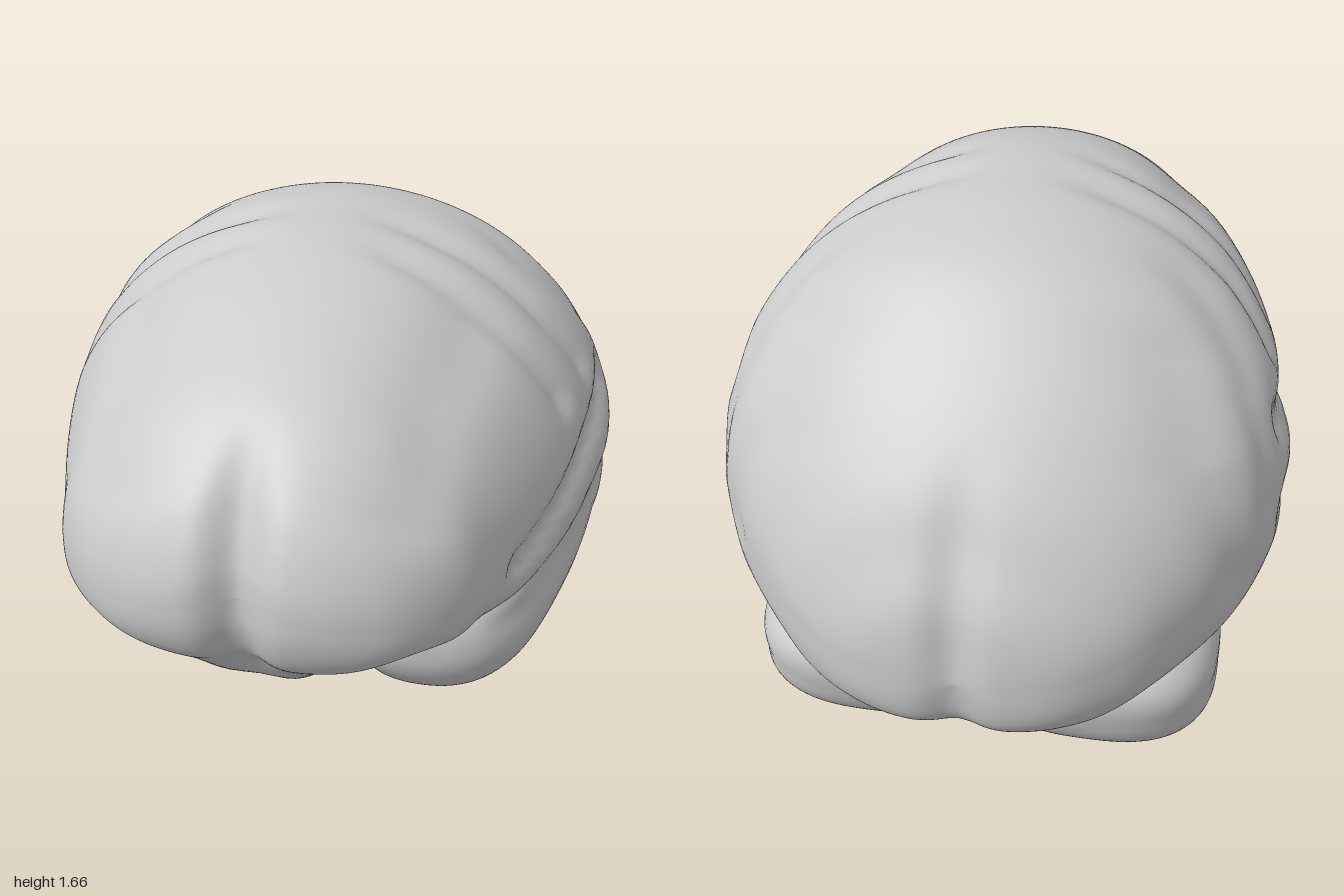
import * as THREE from 'three';
import { mergeVertices } from 'three/addons/utils/BufferGeometryUtils.js';

const material = new THREE.MeshStandardMaterial({ color: 0xcccccc, roughness: 0.7 });
const bell = (d, w) => Math.exp(-(d * d) / (w * w));
const step = THREE.MathUtils.smoothstep;
const spow = (v, e) => Math.sign(v) * Math.pow(Math.abs(v), e);

// Smoothly interpolated row of a section table, t from 0 to 1
function sample(rows, t) {
  const f = t * (rows.length - 1);
  const i = Math.min(Math.floor(f), rows.length - 2);
  const k = f - i;
  const row = (n) => rows[Math.max(0, Math.min(rows.length - 1, n))];
  return rows[0].map((_, c) => {
    const [a, b, d, e] = [row(i - 1)[c], row(i)[c], row(i + 1)[c], row(i + 2)[c]];
    return b + 0.5 * k * (d - a + k * (2 * a - 5 * b + 4 * d - e + k * (3 * (b - d) + e - a)));
  });
}

// Closed skin of rings: point(angle, t) gives [x, y, z]
function skin(name, around, along, point, mirrored = false) {
  const pos = [];
  const index = [];
  for (let j = 0; j <= along; j++) {
    for (let i = 0; i < around; i++) {
      const [x, y, z] = point((i / around) * Math.PI * 2, j / along);
      pos.push(mirrored ? -x : x, y, z);
      if (j === along) continue;
      const a = j * around + i;
      const b = j * around + ((i + 1) % around);
      const c = a + around;
      const d = b + around;
      if (mirrored) index.push(a, b, c, b, d, c);
      else index.push(a, c, b, b, c, d);
    }
  }
  let geometry = new THREE.BufferGeometry();
  geometry.setAttribute('position', new THREE.Float32BufferAttribute(pos, 3));
  geometry.setIndex(index);
  geometry = mergeVertices(geometry, 1e-5);
  geometry.computeVertexNormals();
  const mesh = new THREE.Mesh(geometry, material);
  mesh.name = name;
  return mesh;
}

// Furrows drawn on the side as z, y lines
const furrows = [
  { depth: 0.035, width: 0.06, line: [[0.48, 0.92], [0.3, 0.97], [0.05, 1.05], [-0.25, 1.12]] },
  { depth: 0.022, width: 0.06, line: [[0.5, 0.74], [0.3, 0.79], [0, 0.84], [-0.3, 0.89]] },
  { depth: 0.02, width: 0.05, line: [[0.18, 1.62], [0.18, 1.4], [0.14, 1.25]] },
  { depth: 0.02, width: 0.05, line: [[0, 1.64], [-0.02, 1.4], [-0.08, 1.25]] },
  { depth: 0.02, width: 0.07, line: [[-0.45, 1.42], [-0.62, 1.2], [-0.6, 0.85]] },
  { depth: 0.015, width: 0.07, line: [[0.25, 1.5], [0.55, 1.4], [0.8, 1.22]] },
  { depth: 0.012, width: 0.06, line: [[-0.2, 1.5], [-0.38, 1.25], [-0.45, 1.0]] },
];

function furrowDepth(z, y) {
  let sum = 0;
  for (const { depth, width, line } of furrows) {
    let best = Infinity;
    for (let i = 0; i < line.length - 1; i++) {
      const [az, ay] = line[i];
      const dz = line[i + 1][0] - az;
      const dy = line[i + 1][1] - ay;
      const k = Math.max(0, Math.min(1, ((z - az) * dz + (y - ay) * dy) / (dz * dz + dy * dy)));
      best = Math.min(best, Math.hypot(z - az - k * dz, y - ay - k * dy));
    }
    sum += depth * bell(best, width);
  }
  return sum;
}

// Cerebrum sections: z, half width, top, widest height, bottom
const cerebrumRows = [
  [1, 0, 1.02, 1.02, 1.02], [0.99, 0.18, 1.1, 1, 0.92], [0.95, 0.31, 1.2, 0.98, 0.83],
  [0.88, 0.42, 1.3, 0.97, 0.78], [0.75, 0.53, 1.42, 0.96, 0.74], [0.6, 0.59, 1.51, 0.95, 0.72],
  [0.4, 0.67, 1.6, 0.93, 0.6], [0.2, 0.735, 1.65, 0.92, 0.52], [0, 0.775, 1.66, 0.92, 0.5],
  [-0.2, 0.795, 1.648, 0.92, 0.49], [-0.4, 0.77, 1.59, 0.91, 0.49], [-0.6, 0.69, 1.44, 0.88, 0.47],
  [-0.8, 0.52, 1.23, 0.82, 0.46], [-0.9, 0.4, 1.07, 0.78, 0.49], [-0.975, 0.24, 0.92, 0.74, 0.57],
  [-1.005, 0, 0.71, 0.71, 0.71],
];

function cerebrumPoint(angle, t) {
  let [z, w, top, mid, bottom] = sample(cerebrumRows, t);
  const c = Math.cos(angle);
  const s = Math.sin(angle);
  const e = s > 0 ? 1 : 0.7;
  let x = w * spow(c, e);
  let y = mid + (s > 0 ? top - mid : mid - bottom) * spow(s, e);
  // Furrows fade towards the midline and the underside
  const cut = furrowDepth(z, y) * step(Math.abs(x), 0.02, 0.3) * step(s, -0.9, -0.5);
  const keep = 1 - cut / Math.max(Math.hypot(x, y - mid), 0.2);
  x *= keep;
  y = mid + (y - mid) * keep;
  // Underside: flat central ridge, eye hollows and the space above the stem
  const under = step(-s, 0.2, 0.8);
  const frontal = step(z, 0.4, 0.6) * (1 - step(z, 0.75, 0.93));
  y -= under * frontal * 0.09 * Math.exp(-Math.pow(x / 0.19, 4));
  y += under * frontal * 0.06 * bell(Math.abs(x) - 0.36, 0.13);
  y += under * 0.08 * bell(x, 0.2) * step(z, -0.2, 0) * (1 - step(z, 0.25, 0.45));
  // Notch between the hemispheres at both ends
  const notch = z > 0 ? 0.065 : 0.035;
  z *= 1 - notch * bell(x, 0.07) * step(Math.abs(z), 0.7, 0.98);
  return [x, y, z];
}

// Temporal lobe sections: z, centre x, centre y, radius x, radius y
const temporalRows = [
  [0.58, 0.4, 0.67, 0, 0], [0.565, 0.4, 0.67, 0.1, 0.08], [0.52, 0.41, 0.67, 0.18, 0.155],
  [0.43, 0.42, 0.665, 0.235, 0.225], [0.3, 0.435, 0.67, 0.265, 0.26], [0.1, 0.465, 0.72, 0.285, 0.28],
  [-0.1, 0.485, 0.77, 0.29, 0.285], [-0.28, 0.48, 0.8, 0.29, 0.28], [-0.45, 0.45, 0.82, 0.265, 0.25],
  [-0.6, 0.4, 0.82, 0.2, 0.2], [-0.65, 0.38, 0.82, 0, 0],
];

function temporalPoint(angle, t) {
  const [z, cx, cy, rx, ry] = sample(temporalRows, t);
  const y = cy + ry * spow(Math.sin(angle), 0.88);
  // Leans outward towards the top
  const x = cx + rx * spow(Math.cos(angle), 0.88) + 0.24 * (y - cy);
  const cut = furrowDepth(z, y) * step(x, cx, cx + 0.2);
  return [x - cut, y, z];
}

// Cerebellum half: a boxy ellipsoid with one shallow crease, sunk into the cerebrum
function cerebellumPoint(angle, t) {
  const ring = Math.pow(Math.sin(t * Math.PI), 0.75);
  const y = 0.42 + 0.22 * ring * spow(Math.sin(angle), 0.75);
  const crease = 1 - 0.02 * bell(y - 0.42, 0.04);
  const x = 0.31 + 0.35 * ring * spow(Math.cos(angle), 0.75) * crease;
  // Back edge leans rearward to meet the cerebrum
  const lean = 0.25 * (y - 0.42) * step(t, 0.3, 0.9);
  return [x, y, -0.455 + 0.325 * spow(Math.cos(t * Math.PI), 0.8) - lean];
}

// Brain stem sections: y, centre z, radius x, radius z
const stemRows = [
  [0.68, 0.1, 0, 0], [0.66, 0.1, 0.1, 0.12], [0.58, 0.06, 0.155, 0.14], [0.47, -0.04, 0.19, 0.13],
  [0.36, -0.1, 0.18, 0.11], [0.25, -0.165, 0.135, 0.085], [0.15, -0.22, 0.085, 0.065],
  [0.06, -0.27, 0.065, 0.045], [0.015, -0.285, 0.045, 0.03], [0, -0.288, 0, 0],
];

function stemPoint(angle, t) {
  const [y, cz, rx, rz] = sample(stemRows, t);
  return [rx * Math.cos(angle), Math.max(0, y), cz - rz * Math.sin(angle)];
}

export function createModel() {
  const brain = new THREE.Group();
  brain.name = 'brain';
  brain.add(skin('cerebrum', 180, 170, cerebrumPoint));
  for (const [side, mirrored] of [['left', false], ['right', true]]) {
    brain.add(skin(side + 'TemporalLobe', 80, 80, temporalPoint, mirrored));
    brain.add(skin(side + 'Cerebellum', 64, 48, cerebellumPoint, mirrored));
  }
  brain.add(skin('brainStem', 40, 48, stemPoint));
  return brain;
}
